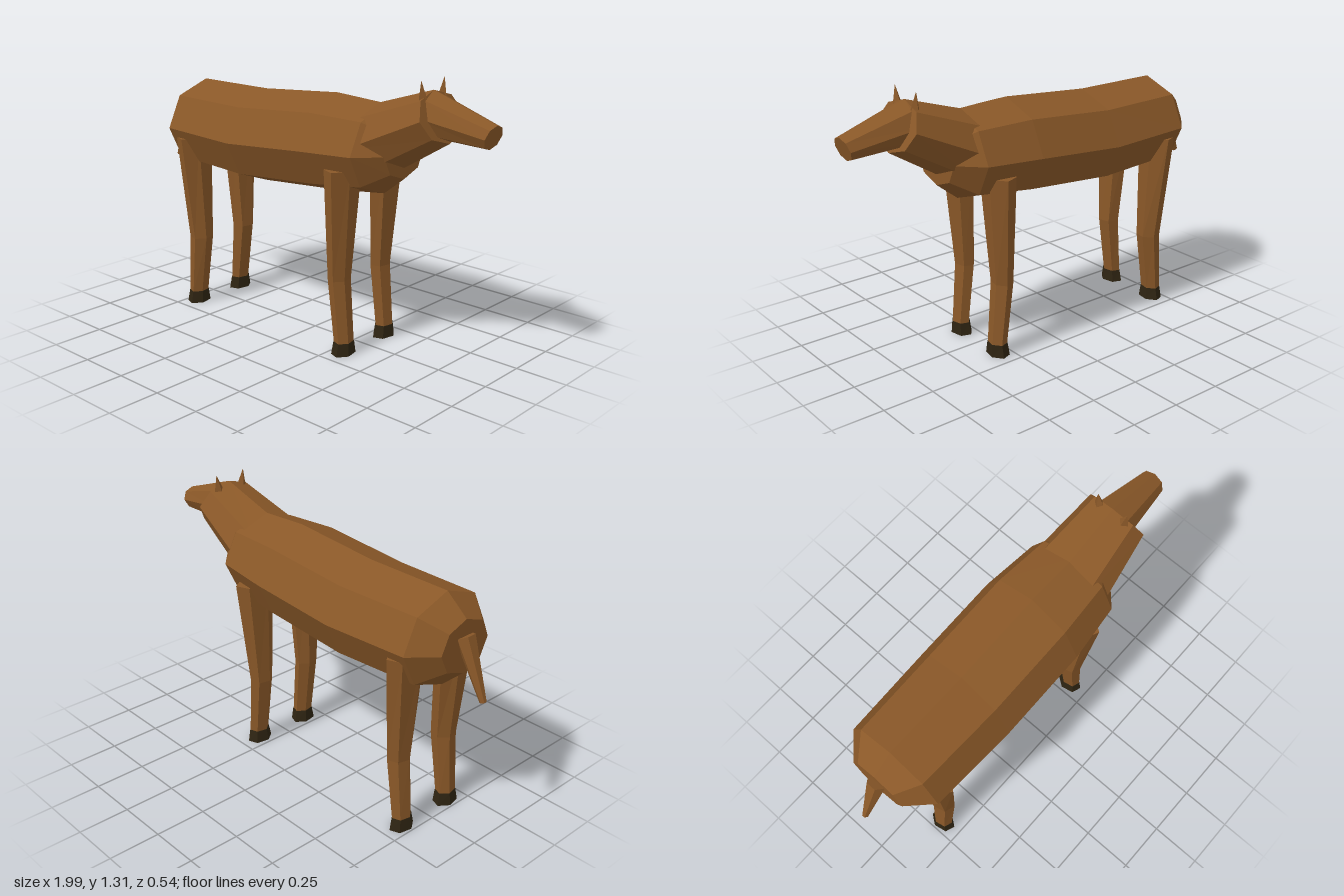
import * as THREE from 'three';

const coat = new THREE.MeshStandardMaterial({ color: 0x8a5828, flatShading: true });
coat.name = 'brown coat';
const hoofDark = new THREE.MeshStandardMaterial({ color: 0x2e2412, flatShading: true });
hoofDark.name = 'dark hoof';

// Closed faceted skin through rings of { c: centre, u, v: half axes }, where u x v points along the path
function loft(name, rings, sides, material, phase = 0) {
  const pos = [];
  const point = (r, j) => {
    const a = phase + (j / sides) * Math.PI * 2;
    return r.c.map((c, k) => c + Math.cos(a) * r.u[k] + Math.sin(a) * r.v[k]);
  };
  const tri = (...pts) => pts.forEach((p) => pos.push(...p));
  const first = rings[0], last = rings[rings.length - 1];
  for (let j = 0; j < sides; j++) {
    for (let i = 0; i < rings.length - 1; i++) {
      const a = point(rings[i], j), b = point(rings[i], j + 1);
      const c = point(rings[i + 1], j + 1), d = point(rings[i + 1], j);
      tri(a, b, c);
      tri(a, c, d);
    }
    tri(first.c, point(first, j + 1), point(first, j));
    tri(last.c, point(last, j), point(last, j + 1));
  }
  const geometry = new THREE.BufferGeometry();
  geometry.setAttribute('position', new THREE.Float32BufferAttribute(pos, 3));
  geometry.computeVertexNormals();
  const mesh = new THREE.Mesh(geometry, material);
  mesh.name = name;
  return mesh;
}

// Ring across the body length: lean shifts its top forward
const across = (x, y, ry, rz, lean = 0) => ({ c: [x, y, 0], u: [lean, ry, 0], v: [0, 0, rz] });
// Level ring for upright parts
const level = (x, y, z, rx, rz) => ({ c: [x, y, z], u: [0, 0, rz], v: [rx, 0, 0] });

export function createModel() {
  const model = new THREE.Group();
  model.name = 'animal';

  // Barrel with tapered rump and chest
  model.add(loft('body', [
    across(-0.87, 0.935, 0.125, 0.145),
    across(-0.76, 0.93, 0.22, 0.253),
    across(-0.32, 0.92, 0.23, 0.27),
    across(0.14, 0.955, 0.23, 0.27),
    across(0.42, 0.965, 0.205, 0.24),
    across(0.53, 0.968, 0.123, 0.14),
  ], 8, coat));

  // Neck rising out of the chest
  model.add(loft('neck', [
    across(0.36, 0.987, 0.155, 0.207, -0.065),
    across(0.722, 1.15, 0.11, 0.155, -0.045),
  ], 8, coat));

  // Head tapering to a blunt muzzle
  model.add(loft('head', [
    across(0.65, 1.158, 0.102, 0.112, 0.03),
    across(0.981, 1.098, 0.053, 0.065, 0.016),
  ], 8, coat));

  // Hanging tail
  model.add(loft('tail', [
    { c: [-0.985, 0.718, 0], u: [0, 0, 0.015], v: [0.015, -0.005, 0] },
    { c: [-0.867, 0.982, 0], u: [0, 0, 0.048], v: [0.04, -0.017, 0] },
  ], 6, coat));

  // Leg stations from ankle to top: x, y, radius along x, radius along z, z
  const legs = {
    frontLeg: [[0.315, 0.06, 0.041, 0.052, 0.148], [0.285, 0.36, 0.047, 0.06, 0.148], [0.307, 0.885, 0.069, 0.103, 0.155]],
    hindLeg: [[-0.692, 0.06, 0.041, 0.052, 0.148], [-0.66, 0.36, 0.055, 0.06, 0.148], [-0.687, 0.885, 0.069, 0.103, 0.155]],
  };
  for (const side of [1, -1]) {
    const label = side > 0 ? 'Near' : 'Far';
    const turn = Math.PI / 12;
    const phase = side > 0 ? turn : Math.PI - turn;
    for (const [name, stations] of Object.entries(legs)) {
      model.add(loft(name + label,
        stations.map(([x, y, rx, rz, z]) => level(x, y, side * z, rx, rz)), 6, coat, phase));
      const [x, y, rx, rz, z] = stations[0];
      model.add(loft(name + 'Hoof' + label, [
        level(x - 0.002, 0, side * z, 0.049, 0.066),
        level(x, y + 0.001, side * z, rx + 0.002, rz + 0.002),
      ], 6, hoofDark, phase));
    }
    // Pointed ear
    model.add(loft('ear' + label, [
      level(0.672, 1.215, side * 0.066, 0.025, 0.032),
      level(0.671, 1.306, side * 0.082, 0.0005, 0.0005),
    ], 4, coat));
  }
  return model;
}
